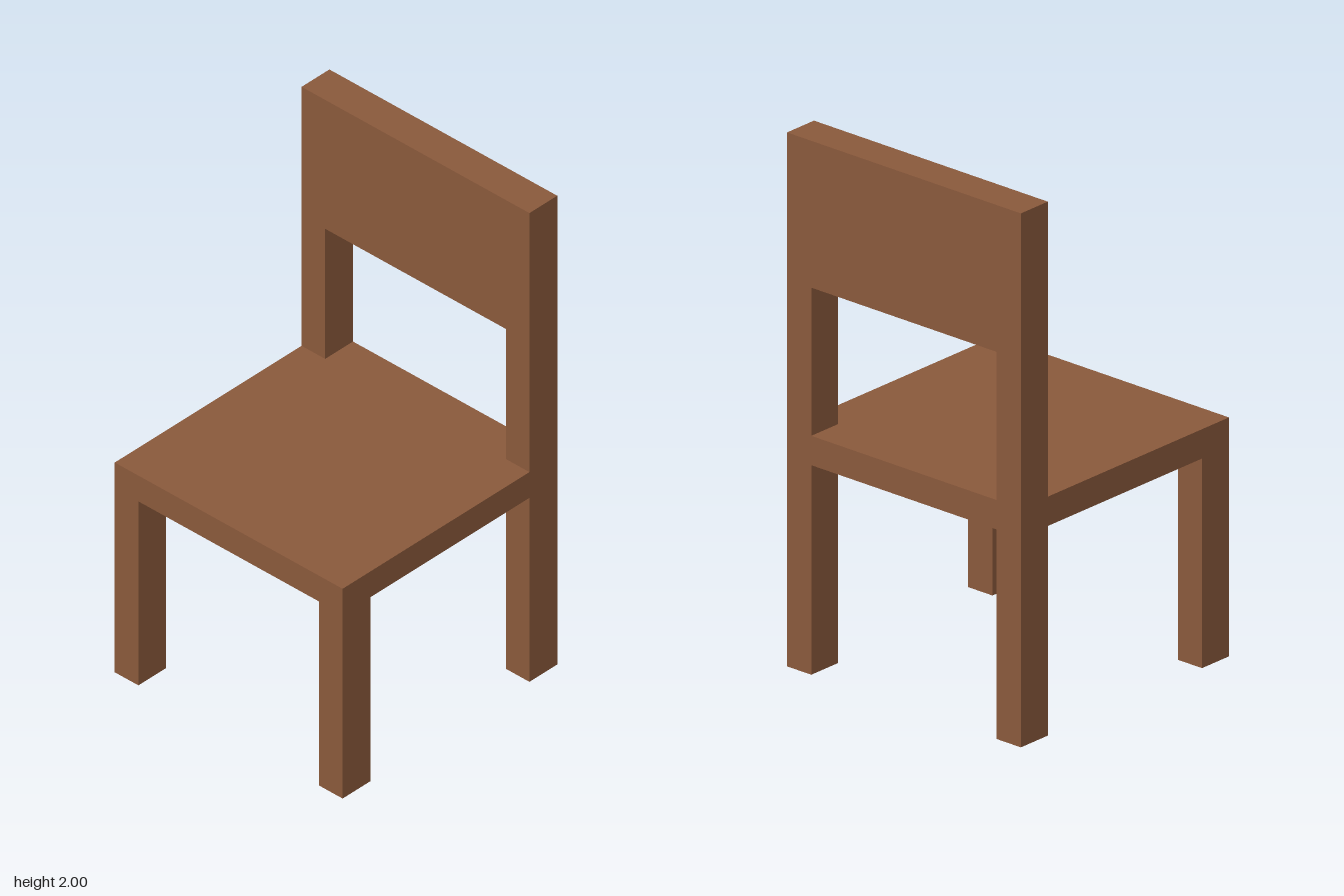
import * as THREE from 'three';

const HALF = 0.54;       // half of the square footprint
const LEG_X = 0.14;      // leg depth along x
const LEG_Z = 0.112;     // leg width along z
const SEAT_BOTTOM = 0.785;
const SEAT_TOP = 0.895;
const REST_BOTTOM = 1.45;
const TOP = 2;

export function createModel() {
  const chair = new THREE.Group();
  chair.name = 'chair';
  const wood = new THREE.MeshStandardMaterial({ color: 0x8b5a3c });

  const add = (name, geometry) => {
    const mesh = new THREE.Mesh(geometry, wood);
    mesh.name = name;
    chair.add(mesh);
    return mesh;
  };
  const box = (name, w, h, d, x, bottom, z) =>
    add(name, new THREE.BoxGeometry(w, h, d)).position.set(x, bottom + h / 2, z);

  const legX = HALF - LEG_X / 2;
  const legZ = HALF - LEG_Z / 2;

  // Short legs under the open edge, tall posts carrying the backrest
  for (const [side, s] of [['Left', 1], ['Right', -1]]) {
    box('frontLeg' + side, LEG_X, SEAT_BOTTOM, LEG_Z, -legX, 0, s * legZ);
    box('backPost' + side, LEG_X, TOP, LEG_Z, legX, 0, s * legZ);
  }

  // Seat slab, notched around the two back posts
  const inX = HALF - LEG_X;
  const inZ = HALF - LEG_Z;
  const outline = new THREE.Shape([
    [-HALF, -HALF], [inX, -HALF], [inX, -inZ], [HALF, -inZ],
    [HALF, inZ], [inX, inZ], [inX, HALF], [-HALF, HALF],
  ].map(([x, y]) => new THREE.Vector2(x, y)));
  const slab = new THREE.ExtrudeGeometry(outline, { depth: SEAT_TOP - SEAT_BOTTOM, bevelEnabled: false });
  slab.rotateX(-Math.PI / 2);
  add('seat', slab).position.y = SEAT_BOTTOM;

  // Backrest panel between the posts
  box('backrest', LEG_X, TOP - REST_BOTTOM, 2 * inZ, legX, REST_BOTTOM, 0);

  return chair;
}
